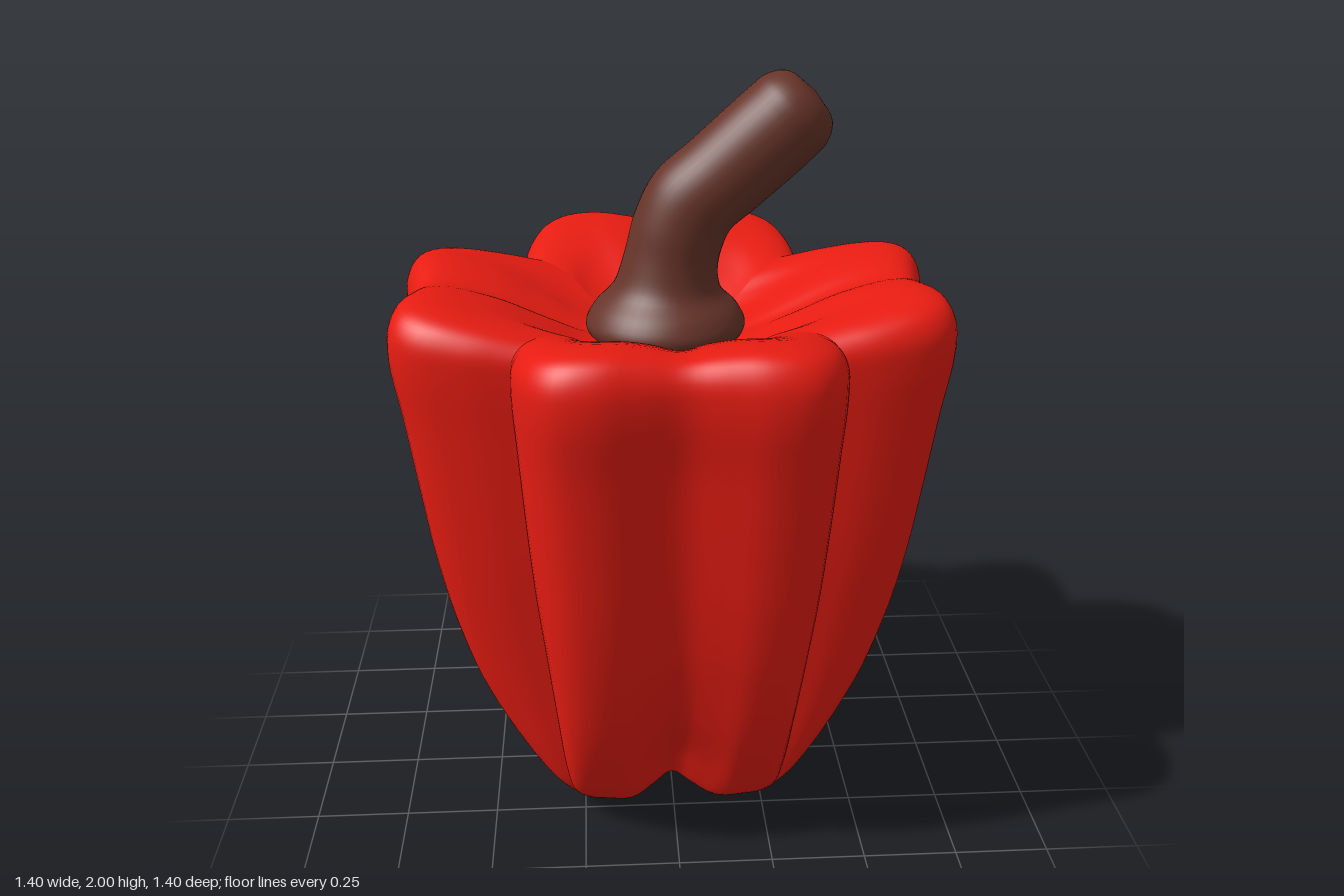
import * as THREE from 'three';
import { mergeVertices } from 'three/addons/utils/BufferGeometryUtils.js';

// Smooth skin over point columns; columns run left to right seen from outside, points bottom to top.
function skin(columns, steps) {
  const pos = [], index = [], n = steps + 1;
  columns.forEach((pts, j) => {
    const curve = new THREE.CatmullRomCurve3(pts);
    for (let i = 0; i <= steps; i++) {
      pos.push(...curve.getPoint(i / steps).toArray());
      if (j && i) {
        const a = (j - 1) * n + i - 1, b = j * n + i - 1;
        index.push(a, b, b + 1, a, b + 1, a + 1);
      }
    }
  });
  let geo = new THREE.BufferGeometry();
  geo.setAttribute('position', new THREE.Float32BufferAttribute(pos, 3));
  geo.setIndex(index);
  geo = mergeVertices(geo, 1e-5);
  geo.computeVertexNormals();
  return geo;
}

// Lobe sections: height, reach at middle groove, reach at bulge, corner, groove drop, corner drop
const SECTIONS = [
  [0.04, 0.002, 0.002, 0.002, 0, 0],
  [0.02, 0.05, 0.075, 0.072, -0.012, 0.003],
  [0.006, 0.085, 0.14, 0.137, -0.015, 0.003],
  [0.012, 0.115, 0.2, 0.19, -0.01, 0.002],
  [0.04, 0.145, 0.262, 0.24, 0, 0],
  [0.1, 0.195, 0.33, 0.28, 0, 0],
  [0.2, 0.27, 0.405, 0.3, 0, 0],
  [0.4, 0.43, 0.512, 0.32, 0, 0],
  [0.6, 0.527, 0.578, 0.34, 0, 0],
  [0.8, 0.58, 0.621, 0.36, 0, 0],
  [1.0, 0.613, 0.65, 0.375, 0, 0],
  [1.2, 0.638, 0.677, 0.387, 0, 0.005],
  [1.36, 0.664, 0.701, 0.395, 0, 0.02],
  [1.44, 0.66, 0.695, 0.392, 0.005, 0.045],
  [1.485, 0.63, 0.666, 0.372, 0.015, 0.06],
  [1.5, 0.575, 0.605, 0.33, 0.025, 0.065],
  [1.468, 0.44, 0.46, 0.26, 0.032, 0.055],
  [1.405, 0.31, 0.325, 0.2, 0.027, 0.04],
  [1.345, 0.19, 0.2, 0.135, 0.012, 0.02],
  [1.31, 0.002, 0.002, 0.002, 0, 0],
];

// Half outline of a lobe, groove to corner: sideways share, then reach between corner and bulge
const SIDE = [0.25, 0.5, 0.74, 0.89, 0.98, 1];
const REACH = [1, 1, 0.95, 0.76, 0.38, 0];

function lobeOutline([y, groove, bulge, corner, grooveDrop, cornerDrop]) {
  const half = SIDE.map((s, k) => {
    const z = k === 0
      ? THREE.MathUtils.lerp(groove, bulge, 0.5)
      : THREE.MathUtils.lerp(corner, bulge, REACH[k]);
    const drop = k === 0 ? grooveDrop * 0.4 : cornerDrop * (1 - REACH[k]);
    return new THREE.Vector3(s * corner, y - drop, z);
  });
  const mirrored = half.map(p => new THREE.Vector3(-p.x, p.y, p.z)).reverse();
  return new THREE.CatmullRomCurve3(
    [...mirrored, new THREE.Vector3(0, y - grooveDrop, groove), ...half]);
}

function lobeGeometry() {
  const outlines = SECTIONS.map(lobeOutline), count = 48;
  const columns = [];
  for (let j = 0; j <= count; j++) columns.push(outlines.map(o => o.getPoint(j / count)));
  return skin(columns, 95);
}

// Stem rings: x, y, radius, tilt towards +x
const RINGS = [
  [-0.01, 1.29, 0.1, 0], [-0.01, 1.315, 0.175, 0], [-0.01, 1.36, 0.208, 0],
  [-0.01, 1.405, 0.19, 0], [-0.005, 1.46, 0.14, 0.05], [0.005, 1.53, 0.122, 0.15],
  [0.025, 1.61, 0.12, 0.32], [0.06, 1.68, 0.12, 0.62], [0.14, 1.75, 0.118, 0.8],
  [0.28, 1.875, 0.118, 0.82], [0.318, 1.91, 0.113, 0.82],
  [0.35, 1.94, 0.082, 0.82], [0.362, 1.951, 0.001, 0.82],
];

function stemGeometry() {
  const columns = [], count = 40;
  for (let j = 0; j <= count; j++) {
    const t = (j % count) / count * Math.PI * 2;
    columns.push(RINGS.map(([x, y, r, tilt]) => new THREE.Vector3(
      x + r * Math.cos(t) * Math.cos(tilt),
      y - r * Math.cos(t) * Math.sin(tilt),
      -r * Math.sin(t))));
  }
  return skin(columns, 60);
}

export function createModel() {
  const model = new THREE.Group();
  model.name = 'bellPepper';
  const red = new THREE.MeshStandardMaterial({ color: 0xe71c12 });
  const brown = new THREE.MeshStandardMaterial({ color: 0x673429 });

  // Four lobes with sharp valleys between them
  const body = new THREE.Group();
  body.name = 'body';
  const lobe = lobeGeometry();
  ['front', 'left', 'back', 'right'].forEach((side, i) => {
    const mesh = new THREE.Mesh(lobe, red);
    mesh.name = side + 'Lobe';
    mesh.rotation.y = i * Math.PI / 2;
    body.add(mesh);
  });
  model.add(body);

  // Bent stem with a flared foot
  const stem = new THREE.Mesh(stemGeometry(), brown);
  stem.name = 'stem';
  model.add(stem);
  return model;
}
